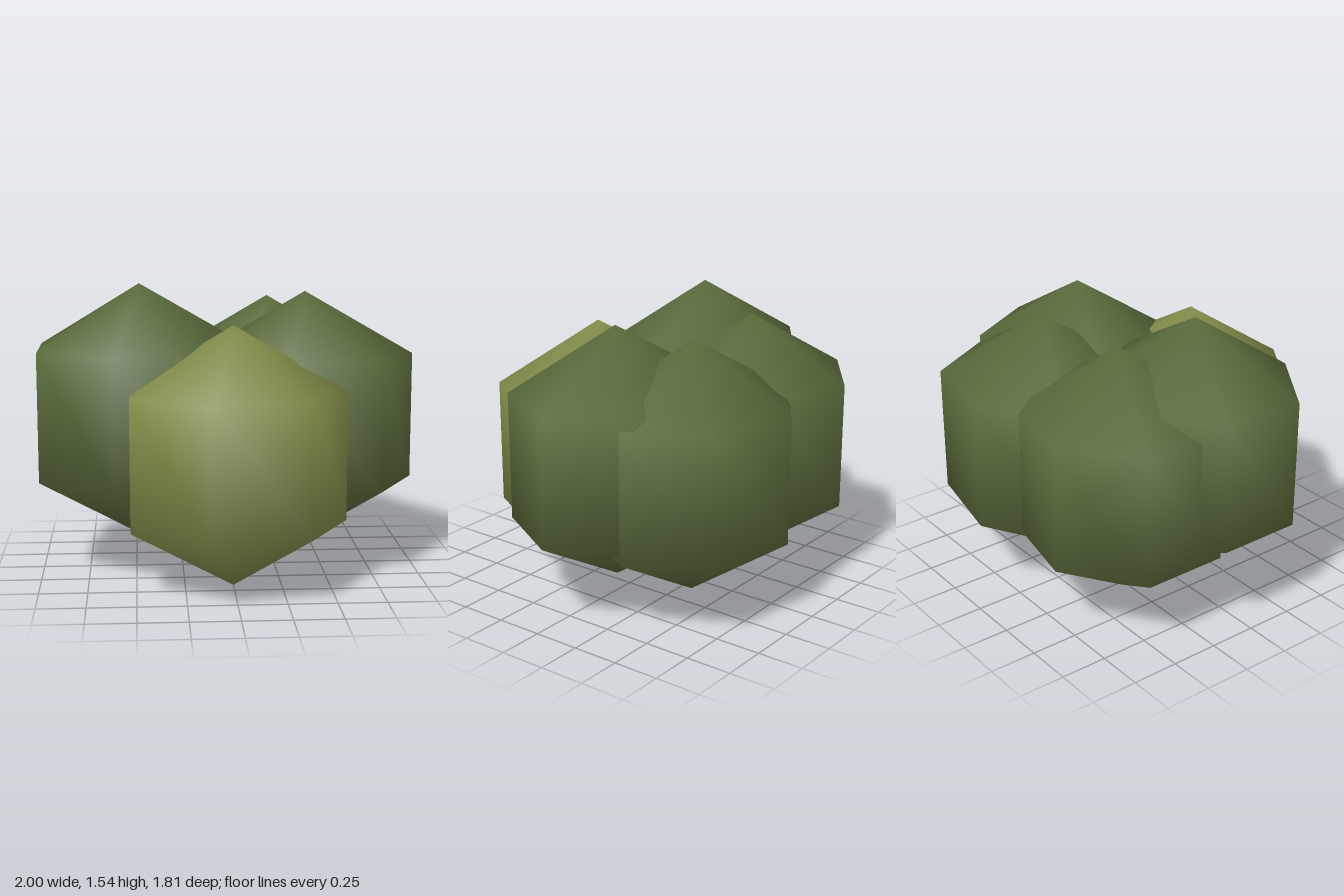
import * as THREE from 'three';

export function createModel() {
  const group = new THREE.Group();
  group.name = 'bush';

  const darkLeaf = new THREE.MeshStandardMaterial({ color: 0x596b3b });
  darkLeaf.name = 'dark leaf green';
  const lightLeaf = new THREE.MeshStandardMaterial({ color: 0x828c49 });
  lightLeaf.name = 'light olive green';

  // One coarse, smooth-shaded clump: seven sides, slightly flattened in depth
  const clump = new THREE.SphereGeometry(0.677, 7, 3);
  clump.rotateY(Math.PI);
  clump.scale(1, 1, 0.877);

  // Overlapping clumps of foliage
  const clumps = [
    ['frontClump', lightLeaf, 0, 0.677, 0.403],
    ['rightClump', darkLeaf, -0.473, 0.86, 0.033],
    ['leftClump', darkLeaf, 0.411, 0.808, -0.046],
    ['backRightClump', darkLeaf, -0.363, 0.755, -0.35],
    ['backLeftClump', darkLeaf, 0.237, 0.755, -0.403],
  ];
  for (const [name, material, x, y, z] of clumps) {
    const mesh = new THREE.Mesh(clump, material);
    mesh.name = name;
    mesh.position.set(x, y, z);
    group.add(mesh);
  }
  return group;
}
